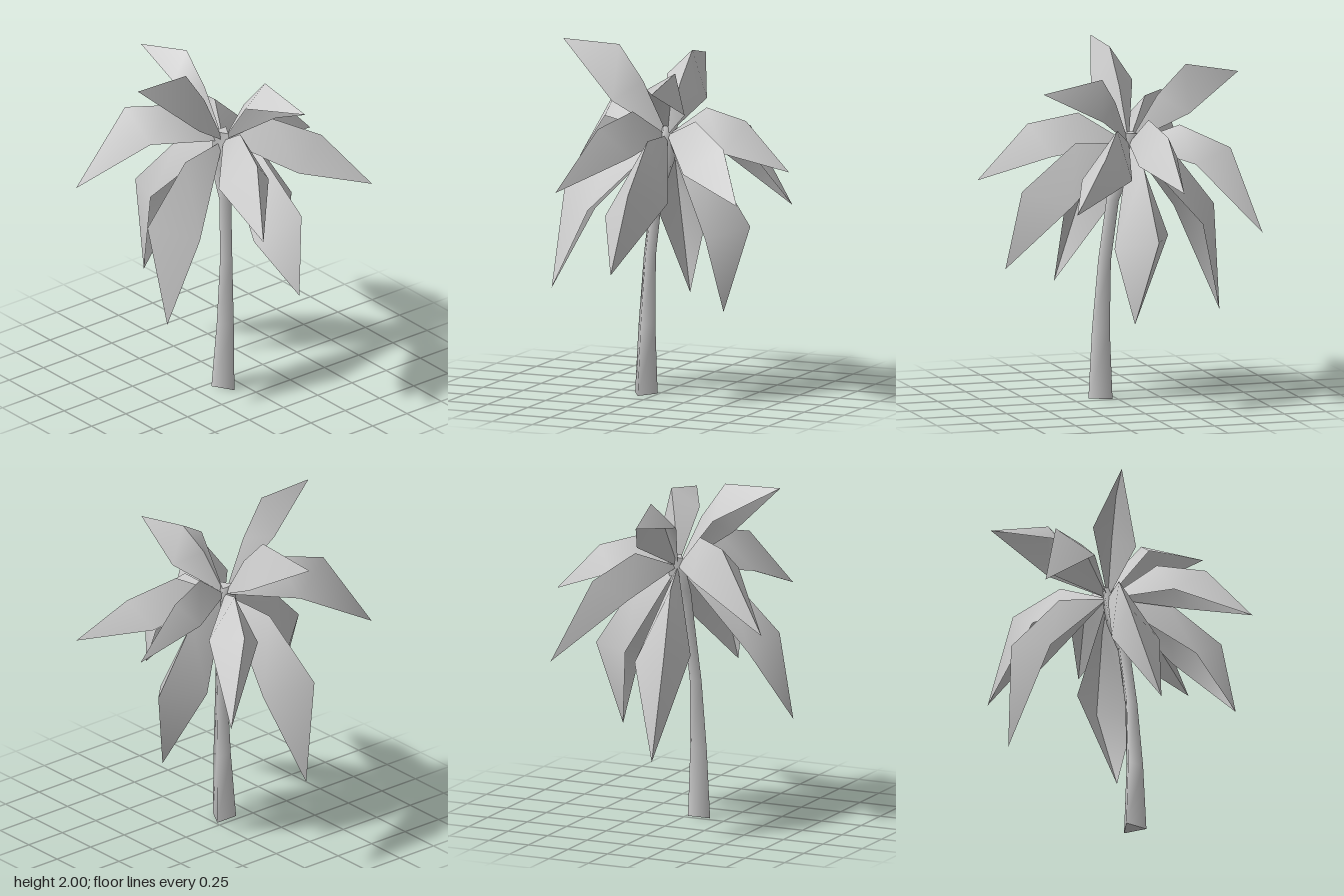
import * as THREE from 'three';

const material = new THREE.MeshStandardMaterial({ color: 0xcccccc, side: THREE.DoubleSide });
const crown = [0.01, 1.48, -0.06];

function makeGeometry(points, index) {
  const g = new THREE.BufferGeometry();
  g.setAttribute('position', new THREE.Float32BufferAttribute(points.flat(), 3));
  g.setIndex(index);
  g.computeVertexNormals();
  return g;
}

// Folded frond: a ridge from crown to tip, with one blade on each side
function makeFrond({ tip, knee, sides }, lift) {
  const frond = new THREE.Group();
  frond.name = 'frond';
  const shoulder = crown.map((c, i) => (c + knee[i]) / 2 + (i === 1 ? lift : 0));
  sides.forEach((side, k) => {
    const index = k === 0 ? [0, 1, 4, 1, 2, 4, 2, 3, 4] : [1, 0, 4, 2, 1, 4, 3, 2, 4];
    const blade = new THREE.Mesh(makeGeometry([crown, shoulder, knee, tip, side], index), material);
    blade.name = 'frondBlade';
    frond.add(blade);
  });
  return frond;
}

// Three-sided leaning trunk, swelling below the crown
function makeTrunk() {
  // x, y, z, radius
  const rings = [
    [-0.08, 0, 0.072, 0.081],
    [-0.07, 0.4, 0.075, 0.06],
    [-0.055, 0.8, 0.06, 0.043],
    [-0.03, 1.15, 0.02, 0.042],
    [-0.01, 1.34, -0.025, 0.075],
    [0.01, 1.54, -0.068, 0.055],
  ];
  const points = [];
  const index = [];
  rings.forEach(([x, y, z, r], i) => {
    for (let k = 0; k < 3; k++) {
      const a = (k * Math.PI * 2) / 3;
      points.push([x + r * Math.sin(a), y, z + r * Math.cos(a)]);
      if (i === 0) continue;
      const n = (k + 1) % 3;
      const lo = (i - 1) * 3;
      const hi = i * 3;
      index.push(lo + k, lo + n, hi + n, lo + k, hi + n, hi + k);
    }
  });
  const trunk = new THREE.Group();
  trunk.name = 'trunk';
  const stem = new THREE.Mesh(makeGeometry(points, index), material);
  stem.name = 'trunkStem';
  const base = new THREE.Mesh(makeGeometry(points.slice(0, 3), [0, 2, 1]), material);
  base.name = 'trunkBase';
  const top = new THREE.Mesh(makeGeometry(points.slice(-3), [0, 1, 2]), material);
  top.name = 'trunkTop';
  trunk.add(stem, base, top);
  return trunk;
}

const raisedFronds = [
  { tip: [-0.63, 2, -0.04], knee: [-0.28, 1.99, -0.04], sides: [[-0.265, 1.795, -0.17], [-0.275, 1.68, 0.075]] },
  { tip: [-0.05, 1.85, -0.735], knee: [0.015, 1.92, -0.4], sides: [[0.11, 1.65, -0.39], [-0.12, 1.78, -0.35]] },
  { tip: [0.16, 1.815, 0.5], knee: [0.15, 1.88, 0.145], sides: [[-0.015, 1.78, 0.175], [0.215, 1.645, 0.16]] },
];

const archingFronds = [
  { tip: [-0.725, 1.24, -0.485], knee: [-0.435, 1.7, -0.4], sides: [[-0.25, 1.5, -0.415], [-0.43, 1.545, -0.175]] },
  { tip: [0.505, 1.01, -0.7], knee: [0.3, 1.475, -0.575], sides: [[0.37, 1.4, -0.345], [0.12, 1.36, -0.48]] },
  { tip: [0.725, 1.3, -0.16], knee: [0.46, 1.58, -0.15], sides: [[0.38, 1.41, 0], [0.345, 1.445, -0.24]] },
  { tip: [0.675, 1.2, 0.465], knee: [0.49, 1.48, 0.235], sides: [[0.27, 1.33, 0.305], [0.44, 1.34, 0.06]] },
  { tip: [-0.335, 1.25, 0.735], knee: [-0.18, 1.59, 0.485], sides: [[-0.305, 1.41, 0.29], [-0.02, 1.42, 0.39]] },
];

const hangingFronds = [
  { tip: [-0.02, 0.785, 0.67], knee: [0.055, 1.24, 0.595], sides: [[-0.16, 1.08, 0.43], [0.19, 1.165, 0.335]] },
  { tip: [-0.6, 0.595, 0.19], knee: [-0.6, 1.14, 0.01], sides: [[-0.45, 1.02, -0.08], [-0.37, 1.06, 0.2]] },
  { tip: [-0.105, 0.47, -0.64], knee: [-0.175, 1.07, -0.63], sides: [[0.08, 1, -0.48], [-0.24, 1.06, -0.41]] },
  { tip: [0.4, 0.5, 0.03], knee: [0.52, 0.985, -0.075], sides: [[0.33, 0.93, 0.13], [0.27, 0.985, -0.21]] },
];

export function createModel() {
  const model = new THREE.Group();
  model.name = 'palmTree';
  model.add(makeTrunk());
  raisedFronds.forEach((f) => model.add(makeFrond(f, 0.05)));
  archingFronds.forEach((f) => model.add(makeFrond(f, 0.12)));
  hangingFronds.forEach((f) => model.add(makeFrond(f, 0.14)));
  return model;
}
